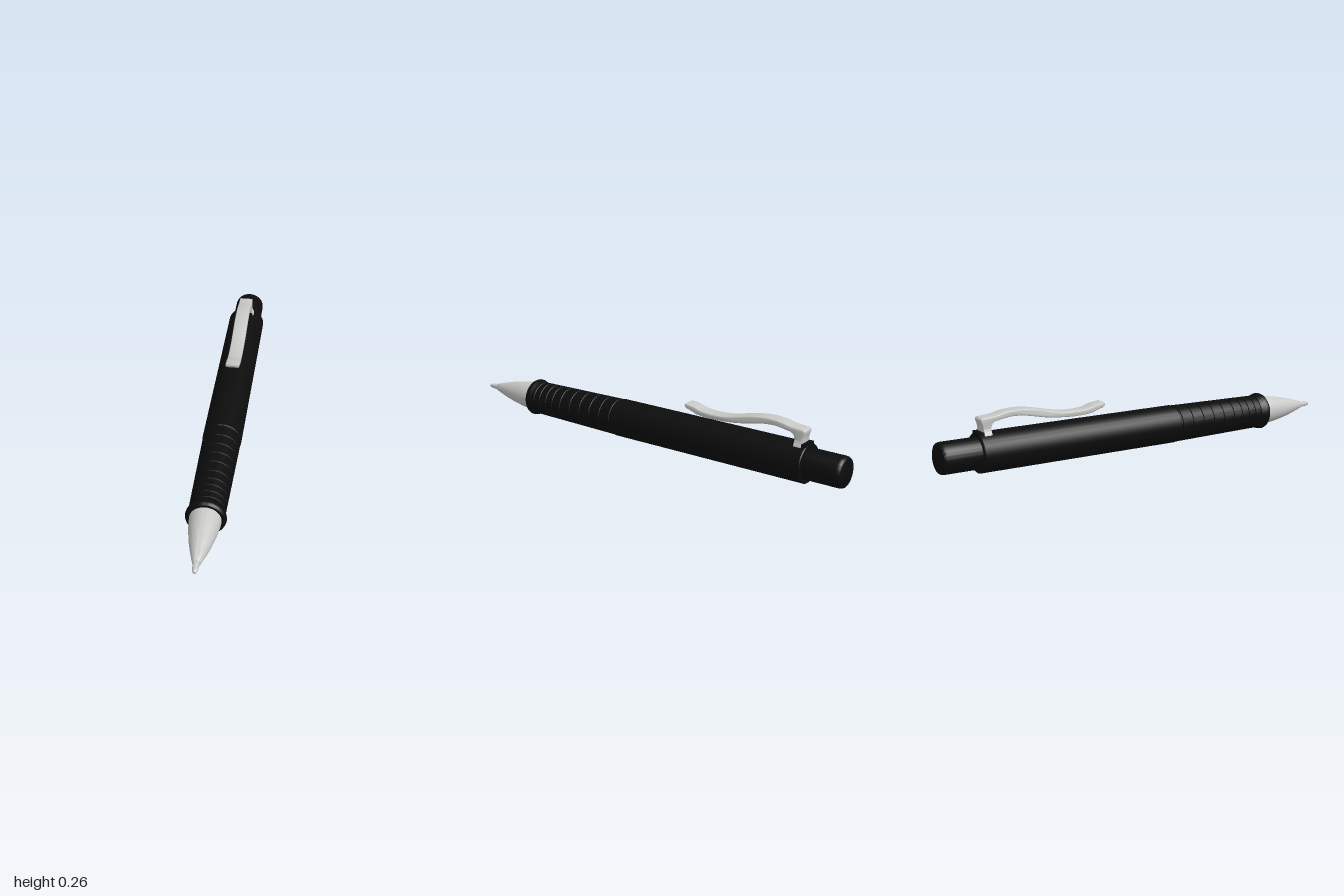
import * as THREE from 'three';
import { toCreasedNormals } from 'three/addons/utils/BufferGeometryUtils.js';

const AXIS = 0.087; // height of the pen's centre line

export function createModel() {
  const pen = new THREE.Group();
  pen.name = 'pen';
  const black = new THREE.MeshStandardMaterial({ name: 'black rubber', color: 0x0c0c0c });
  const silver = new THREE.MeshStandardMaterial({ name: 'silver metal', color: 0xc8c8c6 });

  const add = (name, geometry, material) => {
    const mesh = new THREE.Mesh(toCreasedNormals(geometry, 0.6), material);
    mesh.name = name;
    pen.add(mesh);
    return mesh;
  };

  // Turned part along z; profile is [z, radius] from back to front
  const turned = (name, profile, material) => {
    const points = profile.map(([z, r]) => new THREE.Vector2(r, z));
    const geometry = new THREE.LatheGeometry(points, 64);
    geometry.rotateX(Math.PI / 2);
    geometry.translate(0, AXIS, 0);
    return add(name, geometry, material);
  };

  // Push button
  turned('pushButton', [
    [-1, 0], [-1, 0.058], [-0.997, 0.064], [-0.99, 0.068], [-0.98, 0.069], [-0.82, 0.069],
  ], black);

  // Barrel
  turned('barrel', [
    [-0.826, 0], [-0.826, 0.084], [-0.822, 0.087], [0.16, 0.087], [0.165, 0.08],
  ], black);

  // Tapering grip cut by narrow grooves
  const grip = [[0.16, 0.083]];
  const cuts = [0.17, 0.23, 0.29, 0.35, 0.41, 0.47, 0.52, 0.56, 0.6, 0.635];
  const gripRadius = (z) => 0.085 - 0.007 * (z - 0.16) / 0.48;
  cuts.forEach((z, i) => {
    const r = gripRadius(z);
    grip.push([z, r - 0.003], [z + 0.004, r - 0.003], [z + 0.006, r]);
    if (i < cuts.length - 1) grip.push([cuts[i + 1] - 0.002, gripRadius(cuts[i + 1])]);
  });
  // Flared ring at the front of the grip
  grip.push([0.65, 0.079], [0.66, 0.082], [0.67, 0.086], [0.678, 0.087],
    [0.686, 0.084], [0.692, 0.078], [0.692, 0.06]);
  turned('grip', grip, black);

  // Curved nose cone and writing tip
  turned('noseCone', [
    [0.685, 0.068], [0.72, 0.066], [0.76, 0.061], [0.8, 0.054], [0.84, 0.046],
    [0.88, 0.036], [0.915, 0.026], [0.943, 0.018], [0.946, 0.015], [0.946, 0],
  ], silver);
  turned('writingTip', [
    [0.94, 0.0145], [0.965, 0.013], [0.985, 0.011], [0.994, 0.009], [0.999, 0.005], [1, 0],
  ], silver);

  // Clip: side outline in (-z, y), swept across the width
  const outline = new THREE.Shape();
  outline.moveTo(0.77, 0.168);
  outline.lineTo(0.765, 0.2);
  outline.quadraticCurveTo(0.762, 0.218, 0.735, 0.221);
  outline.splineThru([[0.67, 0.23], [0.604, 0.225], [0.54, 0.212], [0.47, 0.2], [0.364, 0.193],
    [0.283, 0.198], [0.25, 0.209], [0.222, 0.216]].map((p) => new THREE.Vector2(...p)));
  outline.quadraticCurveTo(0.208, 0.228, 0.216, 0.238);
  outline.splineThru([[0.257, 0.233], [0.295, 0.222], [0.337, 0.217], [0.39, 0.217], [0.444, 0.223],
    [0.55, 0.246], [0.6, 0.254], [0.647, 0.257], [0.7, 0.253], [0.75, 0.243], [0.806, 0.238]]
    .map((p) => new THREE.Vector2(...p)));
  outline.quadraticCurveTo(0.817, 0.235, 0.814, 0.222);
  outline.quadraticCurveTo(0.804, 0.2, 0.804, 0.168);
  const bevel = 0.006;
  const width = 0.064;
  const clip = new THREE.ExtrudeGeometry(outline, {
    depth: width - 2 * bevel, curveSegments: 40,
    bevelEnabled: true, bevelThickness: bevel, bevelSize: bevel, bevelOffset: -bevel, bevelSegments: 3,
  });
  clip.translate(0, 0, bevel - width / 2);
  clip.rotateY(Math.PI / 2);
  add('clip', clip, silver);

  // Flared foot joining the clip to the barrel
  const foot = new THREE.Shape();
  foot.moveTo(-0.042, 0.16);
  foot.lineTo(0.042, 0.16);
  foot.lineTo(0.04, 0.172);
  foot.quadraticCurveTo(0.032, 0.182, 0.031, 0.2);
  foot.lineTo(-0.031, 0.2);
  foot.quadraticCurveTo(-0.032, 0.182, -0.04, 0.172);
  const footGeometry = new THREE.ExtrudeGeometry(foot, { depth: 0.034, bevelEnabled: false, curveSegments: 8 });
  footGeometry.translate(0, 0, -0.803);
  add('clipFoot', footGeometry, silver);

  // Low saddle under the foot
  const saddle = new THREE.BoxGeometry(0.07, 0.03, 0.064);
  saddle.translate(0, 0.163, -0.793);
  add('clipSaddle', saddle, black);

  return pen;
}
